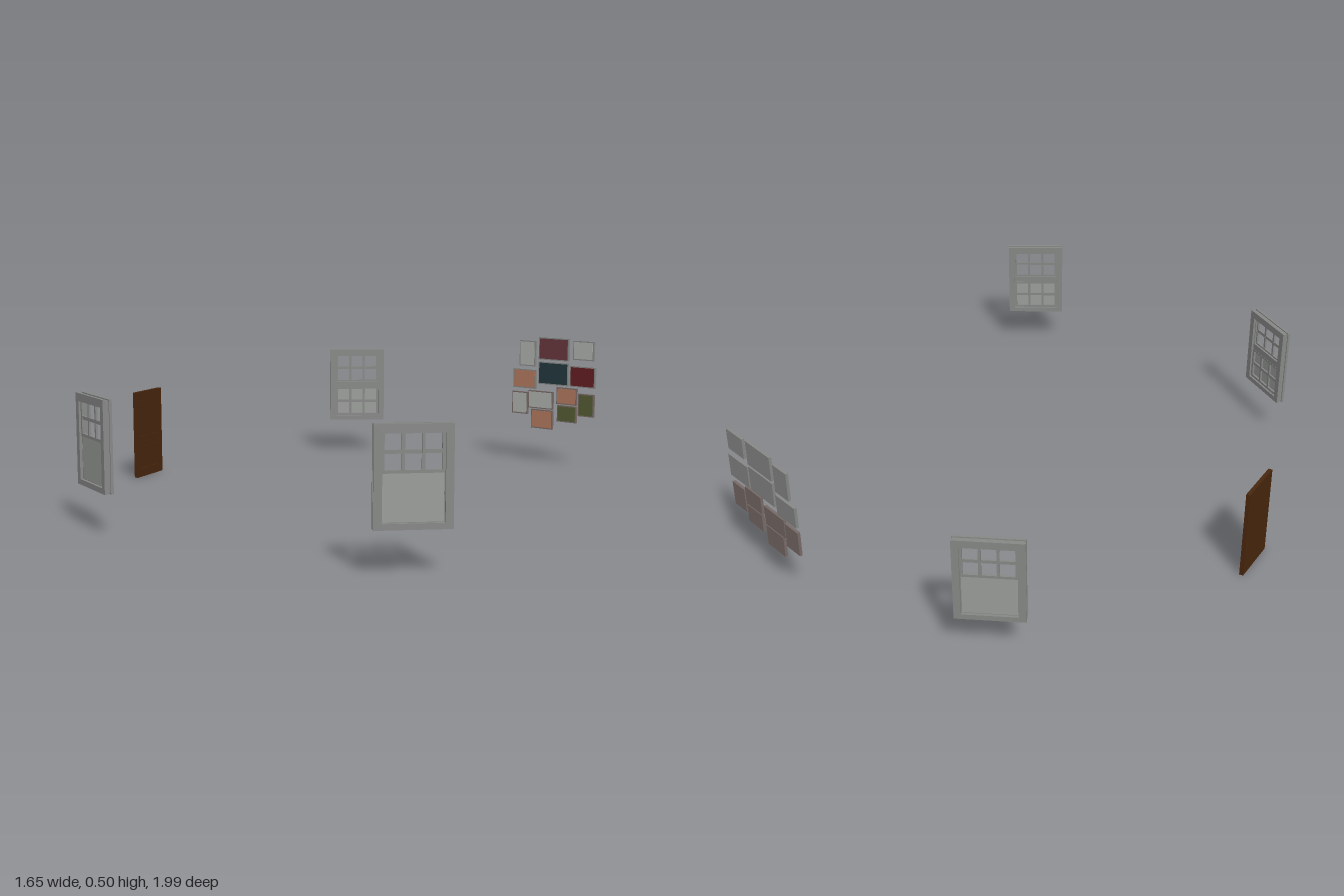
import * as THREE from 'three';

const mat = (name, color) => {
  const m = new THREE.MeshStandardMaterial({ color });
  m.name = name;
  return m;
};

export function createModel() {
  const M = {
    frame: mat('window frame grey', 0x868886),
    pane: mat('pane grey', 0x9a9d99),
    door: mat('door brown', 0x47260d),
    photo: mat('photo grey', 0xb0b3b0),
    maroon: mat('maroon', 0x69383f),
    teal: mat('dark teal', 0x22383f),
    red: mat('dark red', 0x661f22),
    orange: mat('terracotta', 0xb57a60),
    olive: mat('olive', 0x555c33),
    taupe: mat('taupe backing', 0x776a66),
  };

  const box = (parent, name, material, w, h, d, x, y, z) => {
    const m = new THREE.Mesh(new THREE.BoxGeometry(w, h, d), material);
    m.name = name;
    m.position.set(x, y, z);
    parent.add(m);
    return m;
  };

  // Rectangular ring: outer w by h, with border widths left/right, bottom, top
  const ring = (parent, name, w, h, d, side, bottom, top, y, z) => {
    const s = new THREE.Shape();
    s.moveTo(-w / 2, 0).lineTo(w / 2, 0).lineTo(w / 2, h).lineTo(-w / 2, h).closePath();
    const p = new THREE.Path();
    const a = w / 2 - side;
    p.moveTo(-a, bottom).lineTo(-a, h - top).lineTo(a, h - top).lineTo(a, bottom).closePath();
    s.holes.push(p);
    const g = new THREE.ExtrudeGeometry(s, { depth: d, bevelEnabled: false });
    g.translate(0, y, z - d / 2);
    const m = new THREE.Mesh(g, M.frame);
    m.name = name;
    parent.add(m);
  };

  // Sash window; local +z is the outside
  const sashWindow = (x, z, degrees) => {
    const g = new THREE.Group();
    g.name = 'sashWindow';
    g.position.set(x, 0.13, z);
    g.rotation.y = THREE.MathUtils.degToRad(degrees);
    ring(g, 'outerCasing', 0.224, 0.295, 0.009, 0.023, 0.018, 0.026, 0, 0.0105);
    ring(g, 'innerCasing', 0.224, 0.295, 0.009, 0.023, 0.018, 0.026, 0, -0.0105);
    ring(g, 'jamb', 0.216, 0.287, 0.012, 0.022, 0.016, 0.024, 0.004, 0);

    // Upper sash in front of the lower one, each with three by two panes
    [['upperSash', 0.157, 0.004], ['lowerSash', 0.018, -0.004]].forEach(([name, y, sz]) => {
      const sash = new THREE.Group();
      sash.name = name;
      g.add(sash);
      ring(sash, 'sashFrame', 0.18, 0.118, 0.008, 0.01, 0.009, 0.007, y, sz);
      for (const bx of [-0.028, 0.028]) box(sash, 'verticalBar', M.frame, 0.009, 0.11, 0.007, bx, y + 0.059, sz);
      box(sash, 'crossBar', M.frame, 0.164, 0.011, 0.006, 0, y + 0.06, sz);
    });
    box(g, 'meetingRail', M.frame, 0.18, 0.025, 0.008, 0, 0.1475, -0.003);
    box(g, 'lowerPanel', M.pane, 0.18, 0.147, 0.003, 0, 0.0905, 0.004);
    return g;
  };

  // Panelled door; local +z carries the panels
  const makeDoor = () => {
    const g = new THREE.Group();
    g.name = 'door';
    g.position.set(-0.813, 0, 0.03);
    g.rotation.y = THREE.MathUtils.degToRad(94);
    box(g, 'doorLeaf', M.door, 0.176, 0.323, 0.008, 0, 0.1615, -0.003);
    for (const x of [-0.077, 0, 0.077]) box(g, 'stile', M.door, 0.022, 0.323, 0.006, x, 0.1615, 0.004);
    for (const [y, h] of [[0.016, 0.032], [0.14, 0.028], [0.311, 0.024]]) {
      for (const x of [-0.0385, 0.0385]) box(g, 'rail', M.door, 0.055, h, 0.006, x, y, 0.004);
    }
    for (const [y, h] of [[0.079, 0.07], [0.2265, 0.121]]) {
      for (const x of [-0.0385, 0.0385]) box(g, 'raisedPanel', M.door, 0.041, h, 0.004, x, y, 0.003);
    }
    return g;
  };

  // Wall of small framed pictures: x0, x1, y0, y1, colour
  const makePictures = () => {
    const g = new THREE.Group();
    g.name = 'pictureWall';
    const angle = THREE.MathUtils.degToRad(12);
    g.position.set(0.455, 0, -0.953);
    g.rotation.y = -angle;
    const list = [
      [0.298, 0.37, 0.378, 0.48, 'photo'], [0.386, 0.52, 0.408, 0.497, 'maroon'], [0.54, 0.63, 0.417, 0.492, 'photo'],
      [0.271, 0.374, 0.288, 0.364, 'orange'], [0.386, 0.52, 0.31, 0.4, 'teal'], [0.528, 0.638, 0.31, 0.392, 'red'],
      [0.267, 0.338, 0.183, 0.272, 'photo'], [0.342, 0.453, 0.21, 0.281, 'photo'], [0.47, 0.559, 0.236, 0.303, 'orange'],
      [0.567, 0.635, 0.196, 0.285, 'olive'], [0.474, 0.559, 0.166, 0.232, 'olive'], [0.356, 0.453, 0.13, 0.206, 'orange'],
    ];
    list.forEach(([x0, x1, y0, y1, colour], i) => {
      const w = (x1 - x0) / Math.cos(angle), h = y1 - y0;
      const x = ((x0 + x1) / 2 - 0.455) / Math.cos(angle), y = (y0 + y1) / 2;
      const p = new THREE.Group();
      p.name = 'picture';
      p.position.set(x, y, 0);
      g.add(p);
      box(p, 'pictureFrame', i < 6 ? M.frame : M.taupe, w, h, 0.01, 0, 0, 0);
      box(p, 'pictureFace', M[colour], w - 0.009, h - 0.009, 0.002, 0, 0, 0.0055);
    });
    return g;
  };

  const model = new THREE.Group();
  model.name = 'wallFittings';
  model.add(
    sashWindow(0.722, 0.915, 35),
    sashWindow(-0.399, 0.878, -30),
    sashWindow(-0.37, -0.839, -150),
    makeDoor(),
    makePictures(),
  );
  return model;
}
